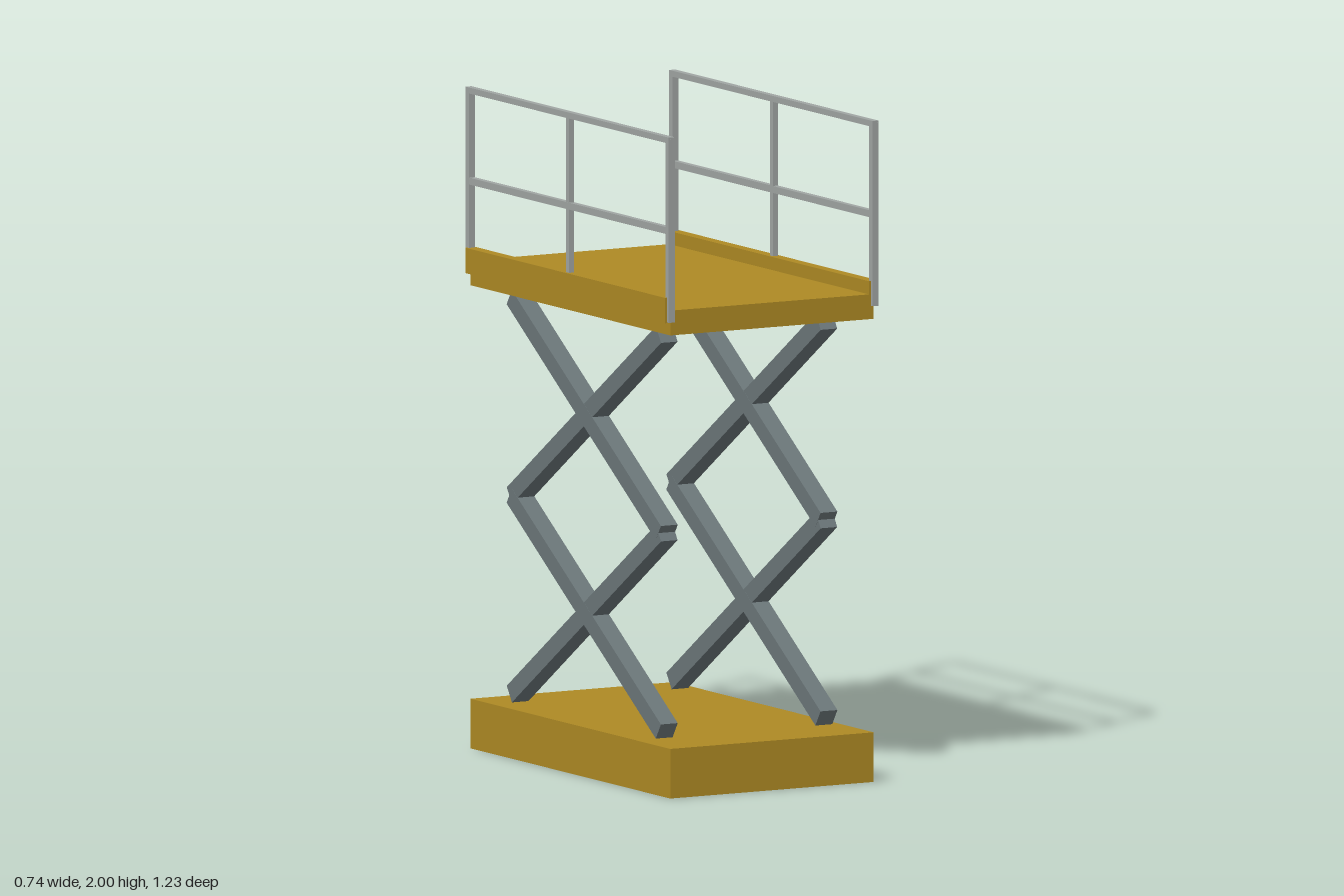
import * as THREE from 'three';

export function createModel() {
  const model = new THREE.Group();
  model.name = 'scissorLift';

  const gold = new THREE.MeshStandardMaterial({ color: 0xae8a24 });
  gold.name = 'gold paint';
  const steel = new THREE.MeshStandardMaterial({ color: 0x6b7679 });
  steel.name = 'dark steel';
  const railGrey = new THREE.MeshStandardMaterial({ color: 0xa0a5a3 });
  railGrey.name = 'rail grey';

  function box(parent, name, material, size, position) {
    const mesh = new THREE.Mesh(new THREE.BoxGeometry(...size), material);
    mesh.name = name;
    mesh.position.set(...position);
    parent.add(mesh);
    return mesh;
  }

  const LENGTH = 1.206;

  // Base and platform deck
  box(model, 'base', gold, [0.7, 0.15, LENGTH], [0, 0.075, 0]);
  box(model, 'platform', gold, [0.7, 0.075, LENGTH], [0, 1.4375, 0]);

  // Two stacked pairs of crossed arms on each side
  const run = 0.9, rise = 0.6;
  const armLength = Math.hypot(run, rise);
  const tilt = Math.atan2(rise, run);
  for (const side of [1, -1]) {
    const linkage = new THREE.Group();
    linkage.name = side > 0 ? 'leftLinkage' : 'rightLinkage';
    for (const y of [0.48, 1.08]) {
      for (const lean of [1, -1]) {
        // one arm is a hair narrower so the crossing faces do not coincide
        const width = lean > 0 ? 0.058 : 0.057;
        const arm = box(linkage, 'scissorArm', steel, [width, 0.056, armLength], [side * 0.275, y, 0]);
        arm.rotation.x = lean * tilt;
      }
    }
    model.add(linkage);
  }

  // Toe boards and guard rails
  const bar = 0.021;
  for (const side of [1, -1]) {
    const x = side * 0.351;
    const guard = new THREE.Group();
    guard.name = side > 0 ? 'leftGuard' : 'rightGuard';
    box(guard, 'toeBoard', gold, [0.034, 0.077, LENGTH], [x, 1.4765, 0]);
    for (const z of [-0.603, 0, 0.603]) {
      const w = z === 0 ? 0.018 : bar;
      box(guard, 'post', railGrey, [w, 0.555, w], [x, 1.7175, z]);
    }
    box(guard, 'topRail', railGrey, [bar, 0.018, 1.226], [x, 1.991, 0]);
    box(guard, 'midRail', railGrey, [0.019, bar, LENGTH], [x, 1.717, 0]);
    model.add(guard);
  }

  return model;
}
